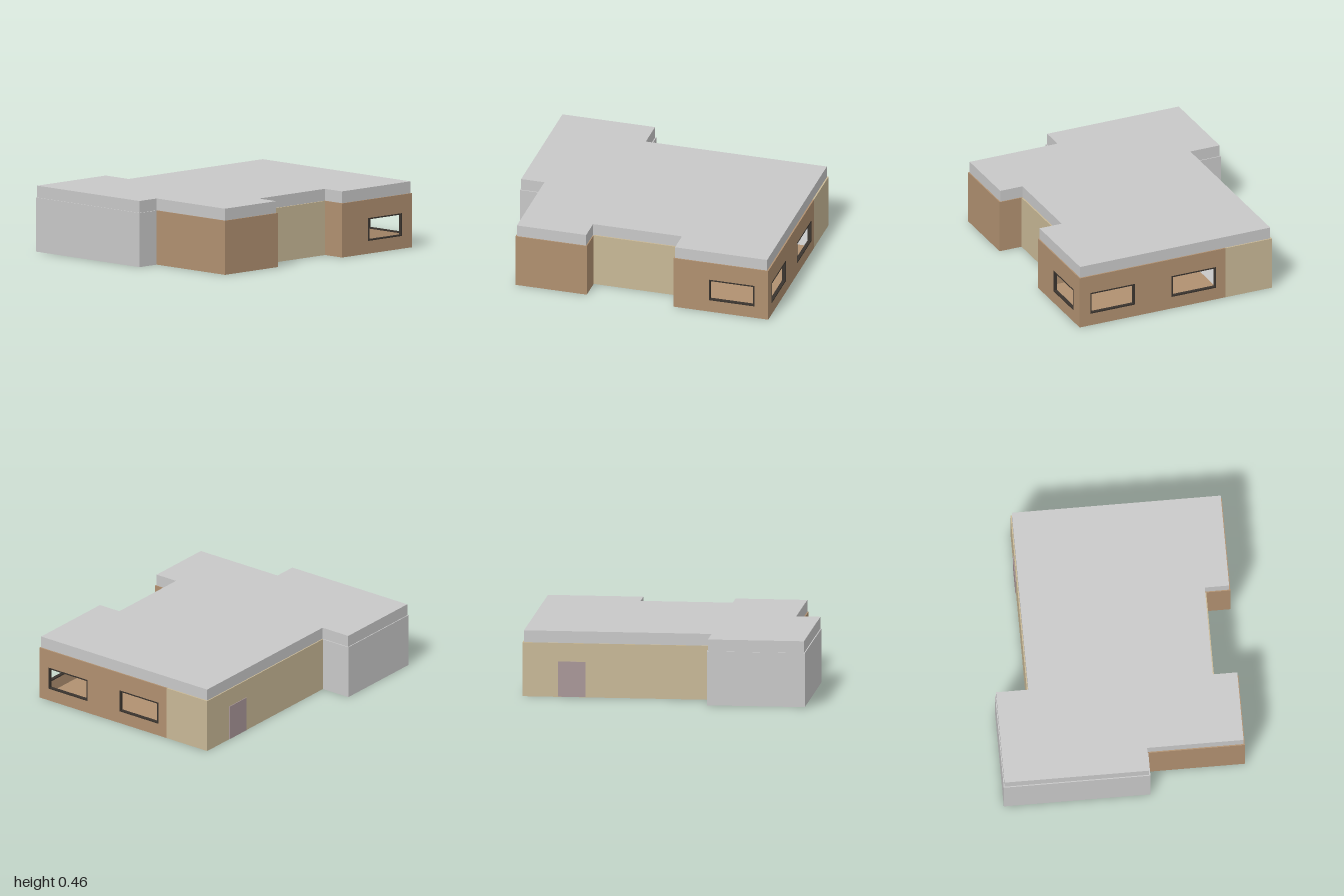
import * as THREE from 'three';

const material = (name, color) => {
  const m = new THREE.MeshStandardMaterial({ color });
  m.name = name;
  return m;
};

const T = 0.02;      // wall thickness
const WALL_H = 0.38; // wall height
const ROOF_H = 0.083;

export function createModel() {
  const grey = material('paleGrey', 0xc8c8c8);
  const brown = material('brown', 0xb09070);
  const tan = material('tan', 0xc8b896);
  const dark = material('darkFrame', 0x3a342e);
  const mauve = material('mauve', 0xa89698);
  const blue = material('doorBlue', 0x7b82b5);
  const teal = material('teal', 0x9cc3cb);

  const house = new THREE.Group();
  house.name = 'house';

  // Box given by its lower and upper corners
  const box = (parent, name, mat, x0, y0, z0, x1, y1, z1) => {
    const mesh = new THREE.Mesh(new THREE.BoxGeometry(x1 - x0, y1 - y0, z1 - z0), mat);
    mesh.position.set((x0 + x1) / 2, (y0 + y1) / 2, (z0 + z1) / 2);
    mesh.name = name;
    parent.add(mesh);
    return mesh;
  };

  const rectPath = (Type, x0, y0, x1, y1) => {
    const p = new Type();
    p.moveTo(x0, y0);
    p.lineTo(x1, y0);
    p.lineTo(x1, y1);
    p.lineTo(x0, y1);
    p.closePath();
    return p;
  };

  // Wall from (x0,z0) to (x1,z1), thickened inwards; windows are [start, end] along it
  const wall = (name, mat, [x0, z0], [x1, z1], windows = []) => {
    const length = Math.hypot(x1 - x0, z1 - z0);
    const shape = rectPath(THREE.Shape, 0, 0, length, WALL_H);
    const group = new THREE.Group();
    group.name = name;
    const y0 = 0.09, y1 = 0.25, f = 0.009;
    for (const [a, b] of windows) {
      shape.holes.push(rectPath(THREE.Path, a, y0, b, y1));
      // Slim frame around the opening
      const frame = rectPath(THREE.Shape, a, y0, b, y1);
      frame.holes.push(rectPath(THREE.Path, a + f, y0 + f, b - f, y1 - f));
      const mesh = new THREE.Mesh(
        new THREE.ExtrudeGeometry(frame, { depth: T + 0.004, bevelEnabled: false }), dark);
      mesh.position.z = -0.002;
      mesh.name = 'windowFrame';
      group.add(mesh);
    }
    const mesh = new THREE.Mesh(
      new THREE.ExtrudeGeometry(shape, { depth: T, bevelEnabled: false }), mat);
    mesh.name = 'wallPanel';
    group.add(mesh);
    group.position.set(x0, 0, z0);
    group.rotation.y = Math.atan2(-(z1 - z0), x1 - x0);
    house.add(group);
  };

  // Outer walls, going round from the back corner
  wall('backHallWall', tan, [-0.625, -1], [-0.27, -1]);
  wall('backRoomWall', brown, [-0.27, -1], [0.848, -1], [[0.073, 0.414], [0.696, 1.037]]);
  wall('backRoomSideWall', brown, [0.848, -1], [0.848, -0.315], [[0.1, 0.43]]);
  wall('backRoomFrontWall', brown, [0.848, -0.315], [0.68, -0.315]);
  wall('hallSideWall', tan, [0.68, -0.315], [0.68, 0.315]);
  wall('frontRoomBackWall', brown, [0.68, 0.315], [0.848, 0.315]);
  wall('frontRoomSideWall', brown, [0.848, 0.315], [0.848, 0.832]);
  wall('frontRoomFrontWall', brown, [0.848, 0.832], [0.175, 0.832]);
  wall('greyRoomStepWall', grey, [0.175, 0.832], [0.175, 1]);
  wall('greyRoomFrontWall', grey, [0.175, 1], [-0.848, 1]);
  wall('greyRoomSideWall', grey, [-0.848, 1], [-0.848, 0.315]);
  wall('greyRoomBackWall', grey, [-0.848, 0.315], [-0.625, 0.315]);
  wall('hallDoorWall', tan, [-0.625, 0.315], [-0.625, -1]);

  // Inner partitions
  wall('backRoomPartition', brown, [0.68, -0.315], [-0.27, -0.315]);
  wall('greyRoomPartition', grey, [0.175, 0.335], [0.175, 0.81]);

  // Floors, slightly inside the wall faces
  const floor = (name, mat, x0, z0, x1, z1) =>
    box(house, name, mat, x0, 0.001, z0, x1, 0.01, z1);
  floor('backRoomFloor', brown, -0.27, -0.998, 0.846, -0.317);
  floor('entryFloor', grey, -0.623, -0.998, -0.27, -0.317);
  floor('hallFloor', grey, -0.623, -0.317, 0.678, 0.317);
  floor('passageFloor', grey, 0.175, 0.317, 0.33, 0.83);
  floor('frontRoomFloor', brown, 0.33, 0.317, 0.846, 0.83);
  floor('greyRoomFloor', grey, -0.846, 0.317, 0.173, 0.998);
  box(house, 'hallFloorPanel', grey, -0.14, 0, -0.15, 0.18, 0.012, 0.16);

  // Rounded rectangle, centred, extruded along z
  const roundedPlate = (w, h, r, depth) => {
    const s = new THREE.Shape();
    const a = w / 2 - r, b = h / 2 - r;
    s.absarc(a, b, r, 0, Math.PI / 2);
    s.absarc(-a, b, r, Math.PI / 2, Math.PI);
    s.absarc(-a, -b, r, Math.PI, Math.PI * 1.5);
    s.absarc(a, -b, r, Math.PI * 1.5, Math.PI * 2);
    return new THREE.ExtrudeGeometry(s, { depth, bevelEnabled: false, curveSegments: 6 });
  };

  // Rug in the grey room, showing through to the underside
  const rug = new THREE.Mesh(roundedPlate(0.56, 0.27, 0.03, 0.014), teal);
  rug.rotation.x = -Math.PI / 2;
  rug.position.set(-0.34, 0, 0.645);
  rug.name = 'rug';
  house.add(rug);

  // Door: plain outer leaf, blue inner leaf with two rounded panels
  const door = new THREE.Group();
  door.name = 'door';
  box(door, 'outerLeaf', mauve, -0.63, 0.002, -0.75, -0.624, 0.25, -0.56);
  box(door, 'innerLeaf', blue, -0.607, 0.01, -0.75, -0.6, 0.25, -0.56);
  for (const z of [-0.605, -0.697]) {
    const panel = new THREE.Mesh(roundedPlate(0.052, 0.095, 0.02, 0.004), mauve);
    panel.rotation.y = Math.PI / 2;
    panel.position.set(-0.601, 0.175, z);
    panel.name = 'doorPanel';
    door.add(panel);
  }
  house.add(door);

  // Flat roof, set back slightly from the walls
  const outline = [
    [-0.617, -0.99], [0.84, -0.99], [0.84, -0.322], [0.67, -0.322], [0.67, 0.322],
    [0.84, 0.322], [0.84, 0.824], [0.167, 0.824], [0.167, 0.993], [-0.842, 0.993],
    [-0.842, 0.322], [-0.617, 0.322],
  ];
  const roofShape = new THREE.Shape(outline.map(([x, z]) => new THREE.Vector2(x, -z)));
  const roof = new THREE.Mesh(
    new THREE.ExtrudeGeometry(roofShape, { depth: ROOF_H, bevelEnabled: false }), grey);
  roof.rotation.x = -Math.PI / 2;
  roof.position.y = WALL_H;
  roof.name = 'roof';
  house.add(roof);

  return house;
}
